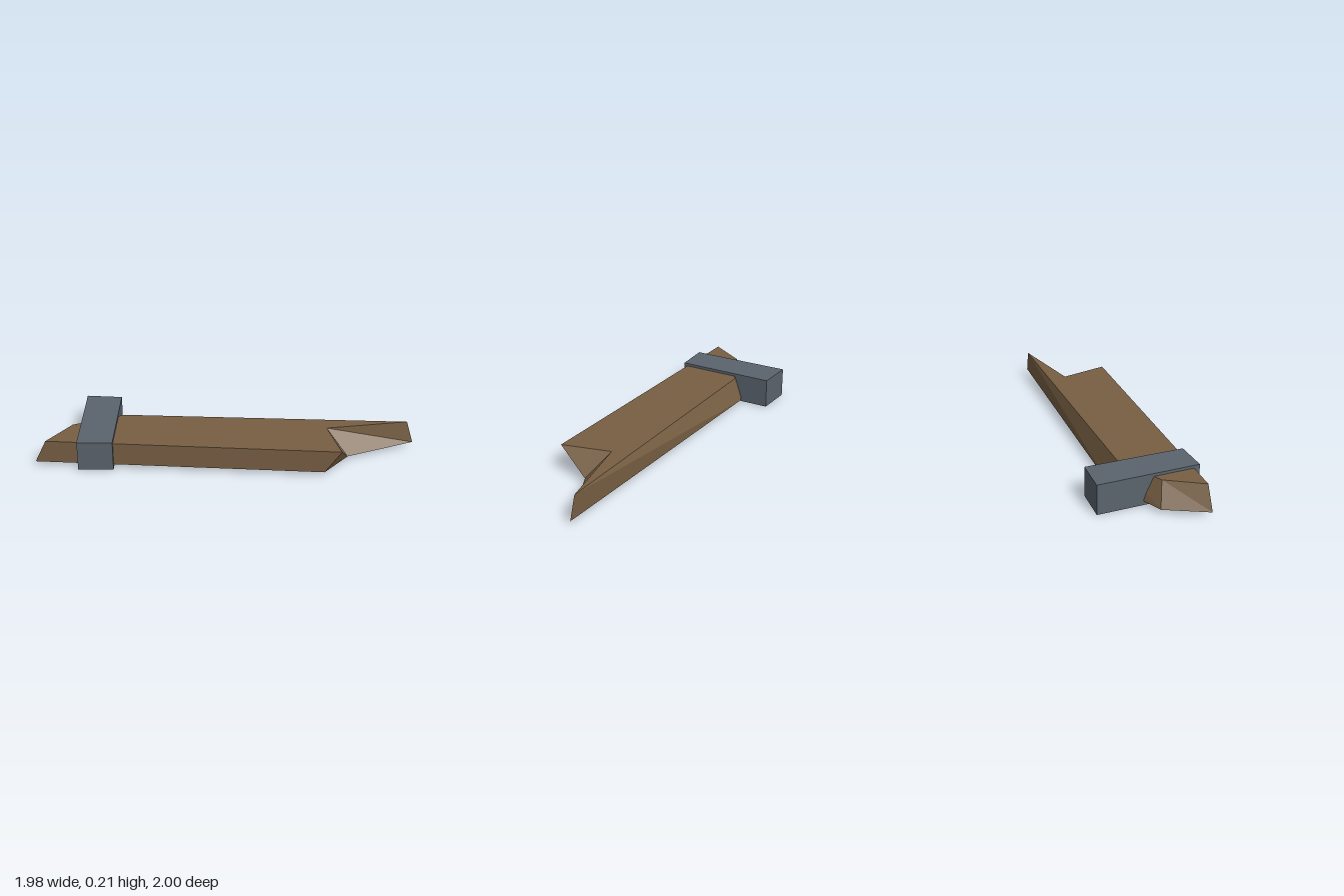
import * as THREE from 'three';

// Solid between two matching outlines of [x, z] corners, counter-clockwise from above.
function prism(bottom, top, y0, y1) {
  const b = bottom.map(([x, z]) => [x, y0, z]);
  const t = top.map(([x, z]) => [x, y1, z]);
  const pos = [];
  const tri = (p, q, r) => pos.push(...p, ...q, ...r);
  const cap = (outline) => THREE.ShapeUtils.triangulateShape(
    outline.map(([x, z]) => new THREE.Vector2(x, -z)), []);
  for (const [i, j, k] of cap(top)) tri(t[i], t[j], t[k]);
  for (const [i, j, k] of cap(bottom)) tri(b[i], b[k], b[j]);
  for (let i = 0; i < b.length; i++) {
    const j = (i + 1) % b.length;
    tri(b[i], b[j], t[i]);
    tri(b[j], t[j], t[i]);
  }
  const geometry = new THREE.BufferGeometry();
  geometry.setAttribute('position', new THREE.Float32BufferAttribute(pos, 3));
  geometry.computeVertexNormals();
  return geometry;
}

export function createModel() {
  const wood = new THREE.MeshStandardMaterial({ color: 0x775f43 });
  wood.name = 'wood';
  const metal = new THREE.MeshStandardMaterial({ color: 0x5a636d });
  metal.name = 'metal';
  wood.flatShading = metal.flatShading = true;

  const group = new THREE.Group();
  group.name = 'brokenPlank';

  // Plank: long splinter tip, slanted broken ends and a V notch
  const plank = new THREE.Mesh(prism(
    [[0.985, -1], [-0.63, 0.265], [-0.845, 0.685], [-0.77, 0.995], [0.785, -0.24], [0.77, -0.52]],
    [[0.945, -0.97], [-0.595, 0.31], [-0.755, 0.66], [-0.71, 0.945], [0.87, -0.31], [0.585, -0.51]],
    0.03, 0.19), wood);
  plank.name = 'plank';

  // Metal band across the plank, slightly thicker than the wood
  const outline = [[-0.79, 0.16], [-0.99, 0.315], [-0.51, 0.838], [-0.33, 0.675]];
  const band = new THREE.Mesh(prism(outline, outline, 0, 0.21), metal);
  band.name = 'metalBand';

  group.add(plank, band);
  return group;
}
